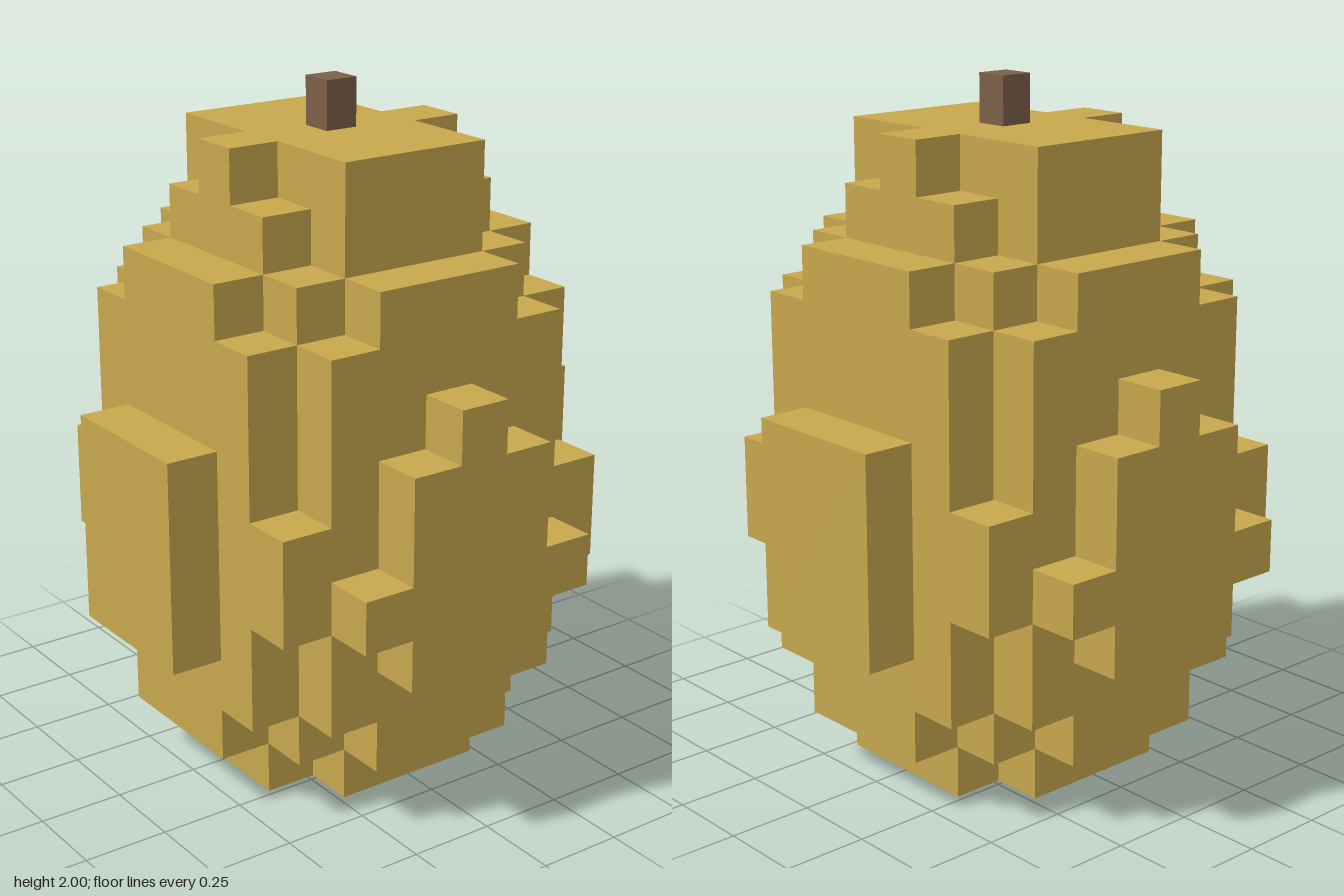
import * as THREE from 'three';

const U = 0.155; // edge of one block

// Stepped cross outline: the union of centred rectangles given as half sizes,
// ordered from widest to deepest.
function steppedOutline(rects) {
  const quarter = [];
  rects.forEach(([hx, hz], i) => {
    if (i > 0) quarter.push([hx, rects[i - 1][1]]);
    quarter.push([hx, hz]);
  });
  const back = [...quarter].reverse();
  const points = [
    ...quarter,
    ...back.map(([x, z]) => [-x, z]),
    ...quarter.map(([x, z]) => [-x, -z]),
    ...back.map(([x, z]) => [x, -z]),
  ];
  return new THREE.Shape(points.map(([x, z]) => new THREE.Vector2(x * U, z * U)));
}

function extrude(shape, depth) {
  return new THREE.ExtrudeGeometry(shape, { depth, bevelEnabled: false });
}

export function createModel() {
  const model = new THREE.Group();
  const golden = new THREE.MeshStandardMaterial({ color: 0xc8a84e });
  golden.name = 'golden skin';
  const brown = new THREE.MeshStandardMaterial({ color: 0x7c6047 });
  brown.name = 'brown stem';

  const add = (name, geometry, material, x = 0, y = 0, z = 0) => {
    const mesh = new THREE.Mesh(geometry, material);
    mesh.name = name;
    mesh.position.set(x, y, z);
    model.add(mesh);
  };

  // Stacked body tiers: bottom and top in blocks, then the plan outline
  const tiers = [
    ['base', 0, 1, [[2.5, 1.5], [1.5, 2.5]]],
    ['lowerStep', 1, 2, [[3.5, 1.5], [2.5, 2.5], [1.5, 3.5]]],
    ['lowerBody', 2, 4, [[3.5, 2.5], [2.5, 3.5]]],
    ['belly', 4, 6, [[3.5, 3.5]]],
    ['upperBody', 6, 9, [[3.5, 2.5], [2.5, 3.5]]],
    ['shoulder', 9, 10, [[3.5, 1.5], [2.5, 2.5], [1.5, 3.5]]],
    ['neck', 10, 11, [[2.5, 1.5], [1.5, 2.5]]],
    ['crown', 11, 12, [[2.5, 1.5], [0.5, 2.5]]],
  ];
  for (const [name, from, to, rects] of tiers) {
    const geometry = extrude(steppedOutline(rects), (to - from) * U);
    geometry.rotateX(-Math.PI / 2);
    add(name, geometry, golden, 0, from * U);
  }

  // Raised rectangular panels on front and back
  const panel = new THREE.BoxGeometry(3 * U, 4 * U, U);
  add('frontPanel', panel, golden, 0, 5 * U, 4 * U);
  add('backPanel', panel, golden, 0, 5 * U, -4 * U);

  // Raised stepped panels on both sides
  const half = [[1.5, 3], [1.5, 4], [2.5, 4], [2.5, 5], [1.5, 5], [1.5, 7], [0.5, 7], [0.5, 8]];
  const outline = [...half, ...[...half].reverse().map(([z, y]) => [-z, y])];
  const sideShape = new THREE.Shape(outline.map(([z, y]) => new THREE.Vector2(z * U, y * U)));
  const side = extrude(sideShape, U).rotateY(Math.PI / 2);
  add('leftPanel', side, golden, 3.5 * U);
  add('rightPanel', side, golden, -4.5 * U);

  // Stem on the crown
  const stemHeight = 2 - 12 * U;
  add('stem', new THREE.BoxGeometry(0.1, stemHeight, 0.1), brown, 0, 2 - stemHeight / 2);

  return model;
}
